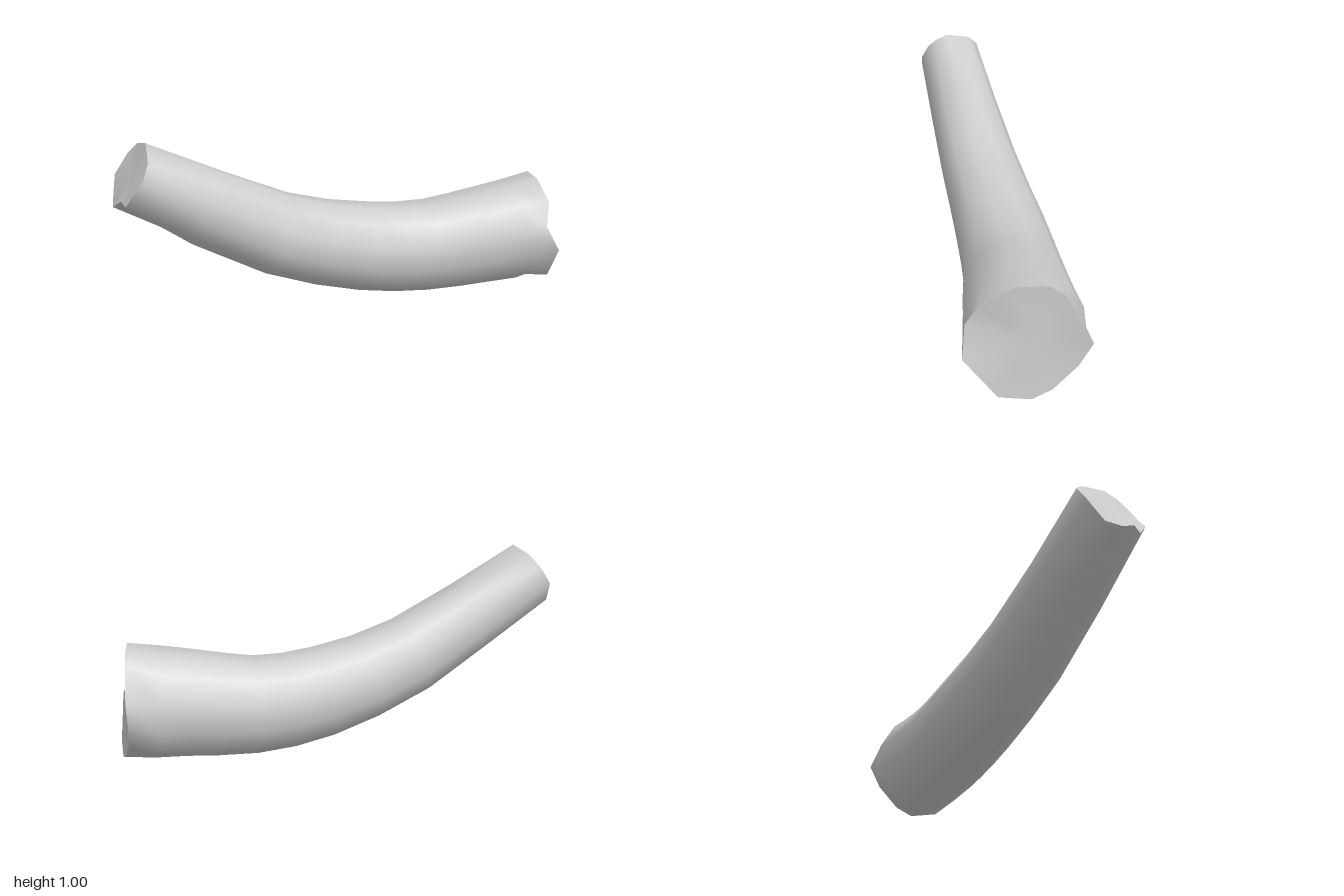
import * as THREE from 'three';

const SIDES = 12;
const v = (p) => new THREE.Vector3(p[0], p[1], p[2]);

// Slightly uneven cut rims, both listed in the same turning order
const narrowRim = [
  [-0.74, 0.80, 0.95], [-0.70, 0.86, 0.92], [-0.70, 0.94, 0.87], [-0.73, 0.98, 0.83],
  [-0.77, 1.01, 0.78], [-0.88, 0.98, 0.69], [-0.95, 0.92, 0.68], [-1.00, 0.82, 0.73],
  [-0.97, 0.71, 0.80], [-0.92, 0.70, 0.87], [-0.84, 0.75, 0.91], [-0.80, 0.73, 0.93],
].map(v);
const wideRim = [
  [1.00, 0.27, -0.49], [0.93, 0.41, -0.46], [0.92, 0.53, -0.53], [0.82, 0.62, -0.66],
  [0.74, 0.62, -0.78], [0.70, 0.57, -0.84], [0.65, 0.40, -0.92], [0.62, 0.30, -0.95],
  [0.66, 0.18, -0.90], [0.75, 0.07, -0.82], [0.82, 0.03, -0.75], [0.92, 0.06, -0.63],
].map(v);

// Centre line (x, y, z) with the radius at each point
const spine = [
  [-0.85, 0.86, 0.82, 0.18], [-0.35, 0.45, 0.28, 0.22], [0.0, 0.30, -0.08, 0.245],
  [0.275, 0.262, -0.32, 0.258], [0.55, 0.295, -0.52, 0.278], [0.81, 0.33, -0.72, 0.30],
];

function makeGeometry(points, index) {
  const g = new THREE.BufferGeometry().setFromPoints(points);
  g.setIndex(index);
  g.computeVertexNormals();
  return g;
}

// Fan from the rim's middle
function makeCap(rim, flip) {
  const middle = rim.reduce((s, p) => s.add(p), new THREE.Vector3()).divideScalar(rim.length);
  const index = [];
  for (let j = 0; j < SIDES; j++) {
    const a = j + 1, b = ((j + 1) % SIDES) + 1;
    index.push(0, ...(flip ? [b, a] : [a, b]));
  }
  return makeGeometry([middle, ...rim], index);
}

// Skin through the two rims and round cross-sections between them
function makeBody() {
  const curve = new THREE.CatmullRomCurve3(spine.map(v));
  const up = new THREE.Vector3(0, 1, 0);
  const spans = spine.length - 1, steps = spans * 2;
  const rings = [narrowRim];
  for (let i = 1; i < steps; i++) {
    const t = i / steps, k = Math.floor(t * spans + 1e-6);
    const radius = THREE.MathUtils.lerp(spine[k][3], spine[k + 1][3], t * spans - k);
    const centre = curve.getPoint(t), along = curve.getTangent(t);
    const side = along.clone().cross(up).normalize();
    const top = side.clone().cross(along);
    rings.push(Array.from({ length: SIDES }, (_, j) => {
      const a = (j - 0.5) * Math.PI * 2 / SIDES;
      return centre.clone().addScaledVector(side, radius * Math.cos(a))
        .addScaledVector(top, radius * Math.sin(a));
    }));
  }
  rings.push(wideRim);
  const index = [];
  for (let i = 0; i < steps; i++) {
    for (let j = 0; j < SIDES; j++) {
      const n = (j + 1) % SIDES, a = i * SIDES + j, b = i * SIDES + n;
      index.push(a, a + SIDES, b, b, a + SIDES, b + SIDES);
    }
  }
  return makeGeometry(rings.flat(), index);
}

export function createModel() {
  const group = new THREE.Group();
  group.name = 'curvedTaperedTube';
  const material = new THREE.MeshStandardMaterial({ color: 0xcccccc });
  const add = (name, geometry) => {
    const mesh = new THREE.Mesh(geometry, material);
    mesh.name = name;
    group.add(mesh);
  };
  add('tubeBody', makeBody());
  add('narrowEndCap', makeCap(narrowRim, false));
  add('wideEndCap', makeCap(wideRim, true));
  return group;
}
